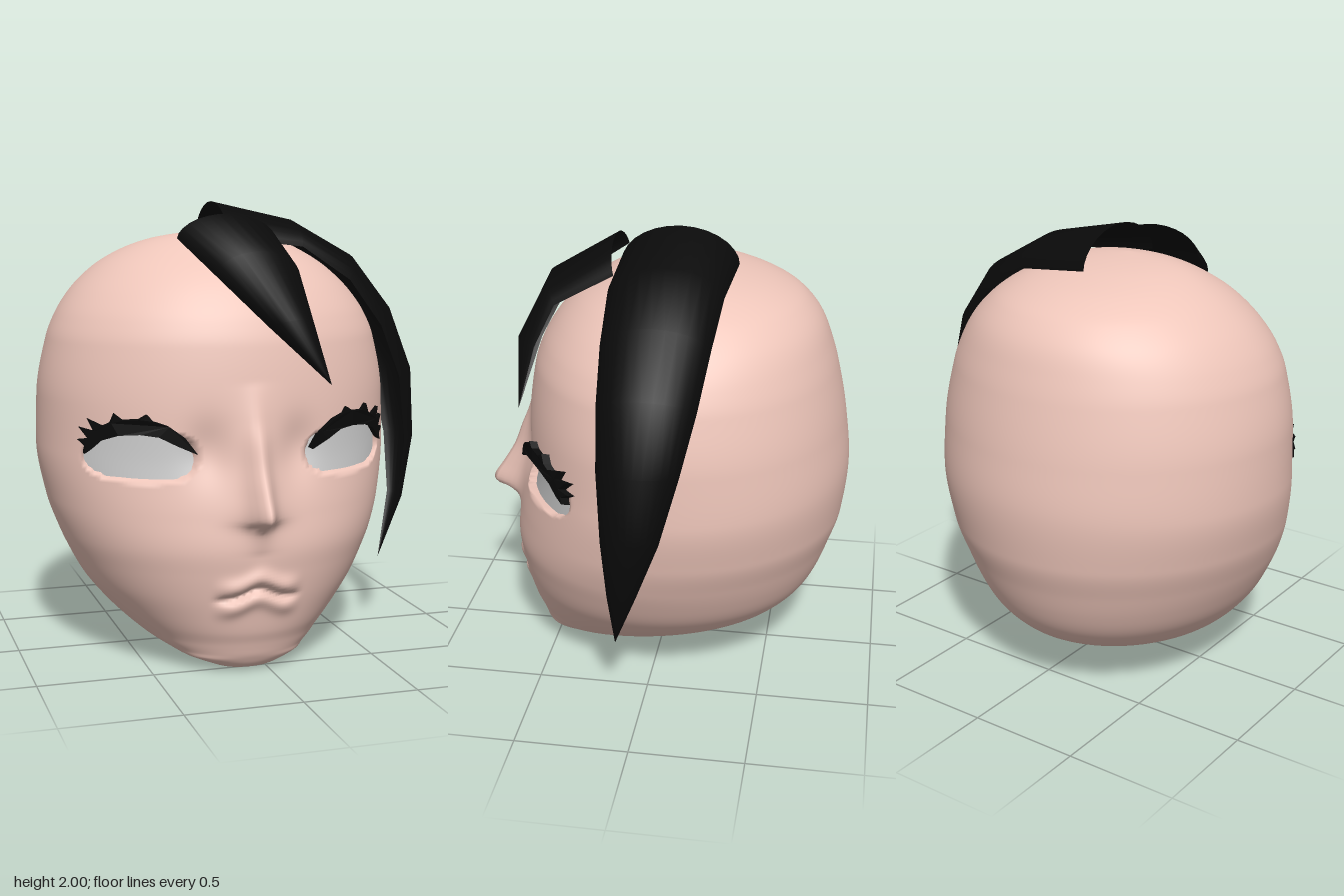
import * as THREE from 'three';

const CX = -0.085; // the head's symmetry plane
const skin = new THREE.MeshStandardMaterial({ color: 0xeec6ba });
const white = new THREE.MeshStandardMaterial({ color: 0xcccccc });
const black = new THREE.MeshStandardMaterial({ color: 0x0a0a0a, side: THREE.DoubleSide });

// Head sections: height, half width, front z, back z
const SECTIONS = [
  [0, 0, 0.5, 0.5], [0.01, 0.1, 0.54, 0.42], [0.03, 0.17, 0.57, 0.33], [0.06, 0.26, 0.59, 0.2],
  [0.08, 0.31, 0.6, 0], [0.11, 0.37, 0.61, -0.2], [0.14, 0.415, 0.62, -0.35], [0.19, 0.475, 0.64, -0.5],
  [0.25, 0.535, 0.655, -0.6], [0.35, 0.615, 0.675, -0.69], [0.45, 0.67, 0.69, -0.74], [0.55, 0.715, 0.7, -0.775],
  [0.7, 0.765, 0.68, -0.82], [0.93, 0.8, 0.635, -0.842], [1.15, 0.795, 0.62, -0.82], [1.4, 0.75, 0.585, -0.77],
  [1.5, 0.71, 0.55, -0.74], [1.6, 0.645, 0.49, -0.7], [1.7, 0.545, 0.4, -0.62], [1.77, 0.44, 0.3, -0.5],
  [1.83, 0.3, 0.18, -0.3], [1.86, 0.15, 0.08, -0.12], [1.87, 0, 0, 0],
];
const NOSE = [[0.54, 0], [0.63, 0.03], [0.66, 0.07], [0.69, 0.15], [0.72, 0.165], [0.8, 0.135],
  [0.9, 0.095], [1, 0.065], [1.1, 0.03], [1.25, 0]];

// Monotone cubic interpolation of column k in a table ordered by its first column
function sample(table, k, y) {
  const n = table.length - 1;
  if (y <= table[0][0]) return table[0][k];
  if (y >= table[n][0]) return table[n][k];
  let i = 0;
  while (y > table[i + 1][0]) i++;
  const slope = (j) => (table[j + 1][k] - table[j][k]) / (table[j + 1][0] - table[j][0]);
  const tangent = (j) => {
    if (j === 0) return slope(0);
    if (j === n) return slope(n - 1);
    const a = slope(j - 1), b = slope(j);
    return a * b <= 0 ? 0 : (2 * a * b) / (a + b);
  };
  const h = table[i + 1][0] - table[i][0], t = (y - table[i][0]) / h, t2 = t * t, t3 = t2 * t;
  return (2 * t3 - 3 * t2 + 1) * table[i][k] + (t3 - 2 * t2 + t) * h * tangent(i)
    + (3 * t2 - 2 * t3) * table[i + 1][k] + (t3 - t2) * h * tangent(i + 1);
}

const bell = (d, width) => Math.exp(-((d / width) ** 2));

function section(y) {
  const w = sample(SECTIONS, 1, y), front = sample(SECTIONS, 2, y), back = sample(SECTIONS, 3, y);
  return { w, front, back, mid: (front + back) / 2 + 0.06 * w };
}

// Smooth front of the face at a distance u from the symmetry plane
function faceZ(u, y) {
  const { w, front, mid } = section(y);
  return mid + (front - mid) * Math.sqrt(Math.max(0, 1 - (u / w) ** 2));
}

// Positive inside the eye opening
function eyeField(u, y) {
  const dy = y - 0.935;
  return 1 - Math.abs((Math.abs(u) - 0.455) / 0.208) ** 3 - Math.abs(dy / (dy < 0 ? 0.088 : 0.105)) ** 2.5;
}

// Nose, lips and eye sockets, as an offset in z
function faceDetail(u, y) {
  const a = Math.abs(u);
  let d = sample(NOSE, 1, y) * (0.6 * bell(u, 0.045) + 0.4 * bell(u, 0.1));
  d -= 0.03 * bell(a - 0.045 + 0.02, 0.014) * bell(y - 0.675, 0.018);
  d -= 0.03 * bell(a - 0.2, 0.09) * bell(y - 0.97, 0.12);
  const line = 0.345 + 0.045 * bell(u, 0.075);
  const mouth = 1 - THREE.MathUtils.smoothstep(a, 0.11, 0.21);
  d += mouth * (0.022 * bell(y - line - 0.05, 0.035) + 0.018 * bell(y - line + 0.045, 0.035)
    - 0.028 * bell(y - line, 0.015));
  d -= 0.07 * THREE.MathUtils.smoothstep(eyeField(u, y), -0.14, 0.14);
  return d;
}

// Mesh from a grid of points; closed grids wrap around each row
function gridGeometry(rows, cols, closed, point) {
  const pos = [], index = [], stride = closed ? cols : cols + 1;
  for (let i = 0; i <= rows; i++) {
    for (let j = 0; j < stride; j++) pos.push(...point(i / rows, j / cols));
  }
  for (let i = 0; i < rows; i++) {
    for (let j = 0; j < cols; j++) {
      const a = i * stride + j, b = i * stride + ((j + 1) % stride);
      index.push(a, b, b + stride, a, b + stride, a + stride);
    }
  }
  const g = new THREE.BufferGeometry();
  g.setAttribute('position', new THREE.Float32BufferAttribute(pos, 3));
  g.setIndex(index);
  g.computeVertexNormals();
  return g;
}

function addMesh(parent, name, geometry, material) {
  const mesh = new THREE.Mesh(geometry, material);
  mesh.name = name;
  parent.add(mesh);
}

function headGeometry() {
  return gridGeometry(160, 260, true, (v, s) => {
    const y = 1.87 * (0.5 * v + 0.25 * (1 - Math.cos(Math.PI * v)));
    const { w, front, back, mid } = section(y);
    const t = s * Math.PI * 2, c = Math.cos(t), u = w * Math.sin(t);
    const z = c > 0 ? mid + (front - mid) * c + faceDetail(u, y) : mid + (mid - back) * c;
    return [CX + u, y, z];
  });
}

// Eye surface lying just behind the opening
function eyeGeometry(side) {
  return gridGeometry(14, 24, false, (v, s) => {
    const u = side * 0.455 + (s - 0.5) * 0.43, y = 0.835 + v * 0.22;
    return [CX + u, y, faceZ(u, y) - 0.035 - 0.03 * bell(Math.abs(u) - 0.2, 0.09) * bell(y - 0.97, 0.12)];
  });
}

// Upper lash band with pointed tips, bent onto the face
function lashGeometry(side) {
  const outline = [[0.25, 0.965], [0.3, 1.035], [0.36, 1.08], [0.42, 1.1], [0.44, 1.125], [0.47, 1.105],
    [0.53, 1.1], [0.56, 1.125], [0.575, 1.085], [0.6, 1.07], [0.655, 1.095], [0.635, 1.045], [0.685, 1.055],
    [0.655, 1.01], [0.69, 1.0], [0.665, 0.975], [0.67, 0.945], [0.645, 0.97], [0.61, 1.01], [0.55, 1.035],
    [0.47, 1.043], [0.4, 1.035], [0.33, 1.0]];
  const shape = new THREE.Shape(outline.map(([u, y]) => new THREE.Vector2(side * u, y)));
  const g = new THREE.ExtrudeGeometry(shape, { depth: 0.06, bevelEnabled: false });
  const p = g.attributes.position;
  for (let i = 0; i < p.count; i++) {
    const u = p.getX(i), y = p.getY(i);
    p.setXYZ(i, CX + u, y, faceZ(u, y) + p.getZ(i) - 0.025);
  }
  g.computeVertexNormals();
  return g;
}

// Arched lock of hair; each station holds its two edges and its crown
function lockGeometry(stations) {
  const n = stations.length - 1;
  return gridGeometry(n, 14, false, (v, s) => {
    const [l, r, c] = stations[Math.round(v * n)];
    const rise = Math.sin(s * Math.PI) ** 1.1, k = (1 - Math.cos(s * Math.PI)) / 2;
    return l.map((a, i) => a + (r[i] - a) * k + (c[i] - (a + r[i]) / 2) * rise);
  });
}

export function createModel() {
  const model = new THREE.Group();
  model.name = 'head';
  addMesh(model, 'face', headGeometry(), skin);
  for (const [side, name] of [[1, 'left'], [-1, 'right']]) {
    addMesh(model, name + 'Eye', eyeGeometry(side), white);
    addMesh(model, name + 'Eyelash', lashGeometry(side), black);
  }

  // Long lock over the left side: crown x, y, edge x, y, front z, back z
  const sideLock = [
    [-0.08, 2.0, -0.08, 1.84, 0.2, -0.32], [0.28, 1.92, 0.27, 1.8, 0.2, -0.295],
    [0.57, 1.76, 0.5, 1.65, 0.19, -0.27], [0.76, 1.52, 0.66, 1.44, 0.18, -0.235],
    [0.87, 1.23, 0.76, 1.2, 0.165, -0.18], [0.88, 0.92, 0.8, 0.9, 0.145, -0.1],
    [0.82, 0.62, 0.78, 0.63, 0.125, 0], [0.69, 0.34, 0.69, 0.34, 0.11, 0.11],
  ].map(([ox, oy, ix, iy, zf, zb]) => [[ix, iy, zf], [ix, iy, zb], [ox, oy, (zf + zb) / 2]]);
  addMesh(model, 'sideLock', lockGeometry(sideLock), black);

  // Short pointed lock over the forehead
  addMesh(model, 'foreheadLock', lockGeometry([
    [[-0.31, 1.84, 0.21], [0.14, 1.83, 0.2], [-0.08, 1.945, 0.23]],
    [[-0.21, 1.69, 0.46], [0.16, 1.69, 0.46], [-0.03, 1.79, 0.51]],
    [[-0.01, 1.48, 0.56], [0.19, 1.5, 0.55], [0.08, 1.51, 0.645]],
    [[0.255, 1.23, 0.615], [0.255, 1.23, 0.615], [0.255, 1.23, 0.615]],
  ]), black);
  return model;
}
